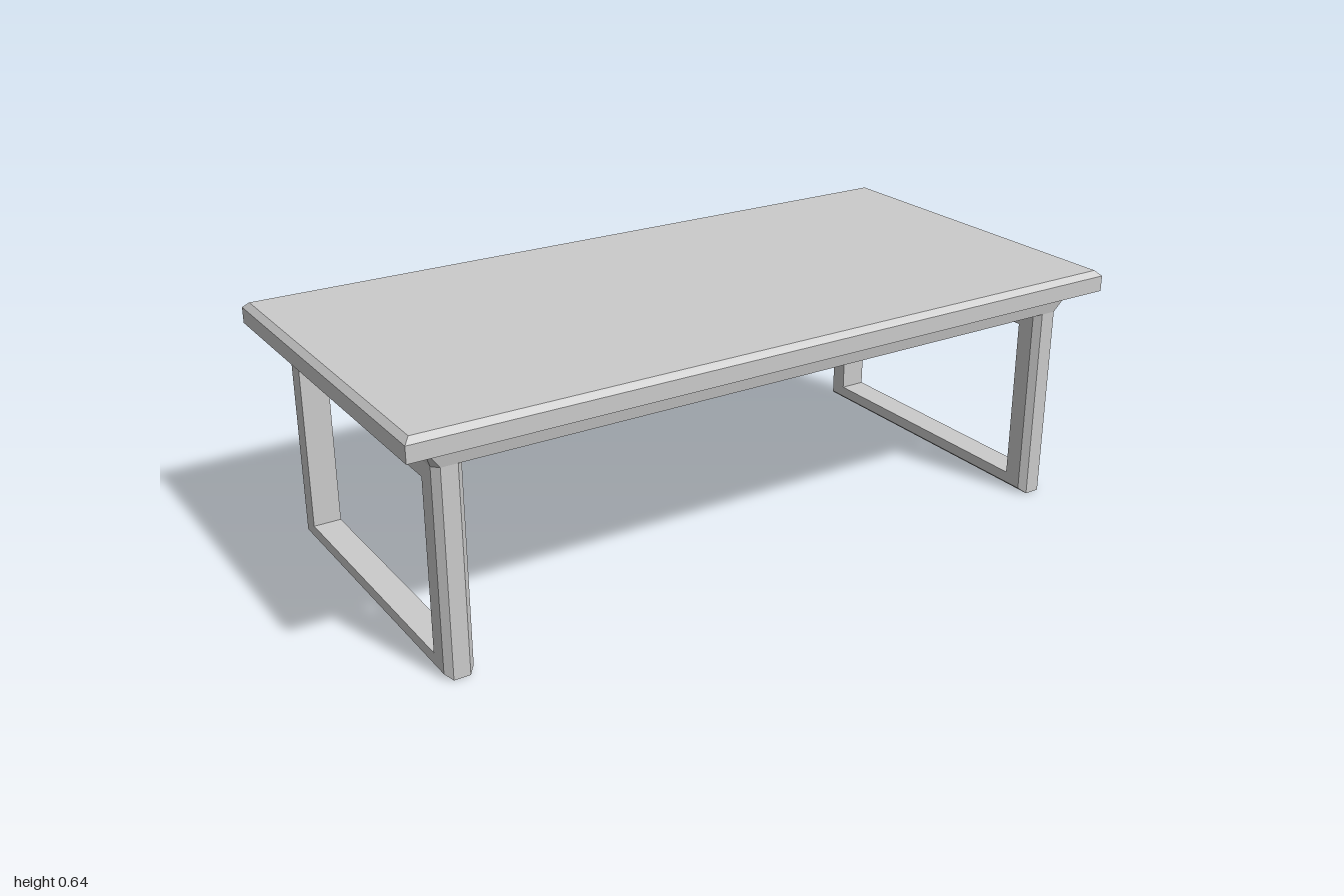
import * as THREE from 'three';
import { ConvexGeometry } from 'three/addons/geometries/ConvexGeometry.js';

const material = new THREE.MeshStandardMaterial({ color: 0xcccccc, flatShading: true });

function addMesh(parent, geometry, name) {
  const mesh = new THREE.Mesh(geometry, material);
  mesh.name = name;
  parent.add(mesh);
  return mesh;
}

// Solid through horizontal rectangles given as [half x, half z, y]
function hullOfRectangles(rectangles) {
  const points = [];
  for (const [x, z, y] of rectangles)
    for (const sx of [-1, 1])
      for (const sz of [-1, 1]) points.push(new THREE.Vector3(sx * x, y, sz * z));
  return new ConvexGeometry(points);
}

// Closed frame skinned over upright rectangles given as [x, half z, bottom, top]
function frameGeometry(rings) {
  const positions = [];
  const index = [];
  rings.forEach(([x, z, y0, y1], i) => {
    positions.push(x, y0, -z, x, y0, z, x, y1, z, x, y1, -z);
    const next = (i + 1) % rings.length;
    for (let j = 0; j < 4; j++) {
      const k = (j + 1) % 4;
      const a = i * 4 + j, b = i * 4 + k, c = next * 4 + k, d = next * 4 + j;
      index.push(a, c, b, a, d, c);
    }
  });
  const indexed = new THREE.BufferGeometry();
  indexed.setAttribute('position', new THREE.Float32BufferAttribute(positions, 3));
  indexed.setIndex(index);
  const geometry = indexed.toNonIndexed();
  geometry.computeVertexNormals();
  return geometry;
}

export function createModel() {
  const table = new THREE.Group();
  table.name = 'table';

  // Slab with a chamfered upper edge
  addMesh(table, hullOfRectangles([
    [1, 0.5, 0.588], [1, 0.5, 0.63], [0.985, 0.485, 0.644],
  ]), 'tableTop');

  // Flared support below the slab, with cut corners that meet the leg chamfers
  addMesh(table, hullOfRectangles([
    [0.94, 0.449, 0.588], [0.914, 0.42, 0.53], [0.898, 0.437, 0.53],
  ]), 'apron');

  // Rectangular leg loops, chamfered along the outer edges
  const legFrame = frameGeometry([
    [0.84, 0.37, 0.043, 0.486],
    [0.84, 0.42, 0.013, 0.535],
    [0.856, 0.437, 0, 0.535],
    [0.898, 0.437, 0, 0.535],
    [0.914, 0.42, 0.013, 0.535],
    [0.914, 0.37, 0.043, 0.486],
  ]);
  addMesh(table, legFrame, 'leftLegFrame');
  addMesh(table, legFrame, 'rightLegFrame').rotation.y = Math.PI;

  return table;
}
